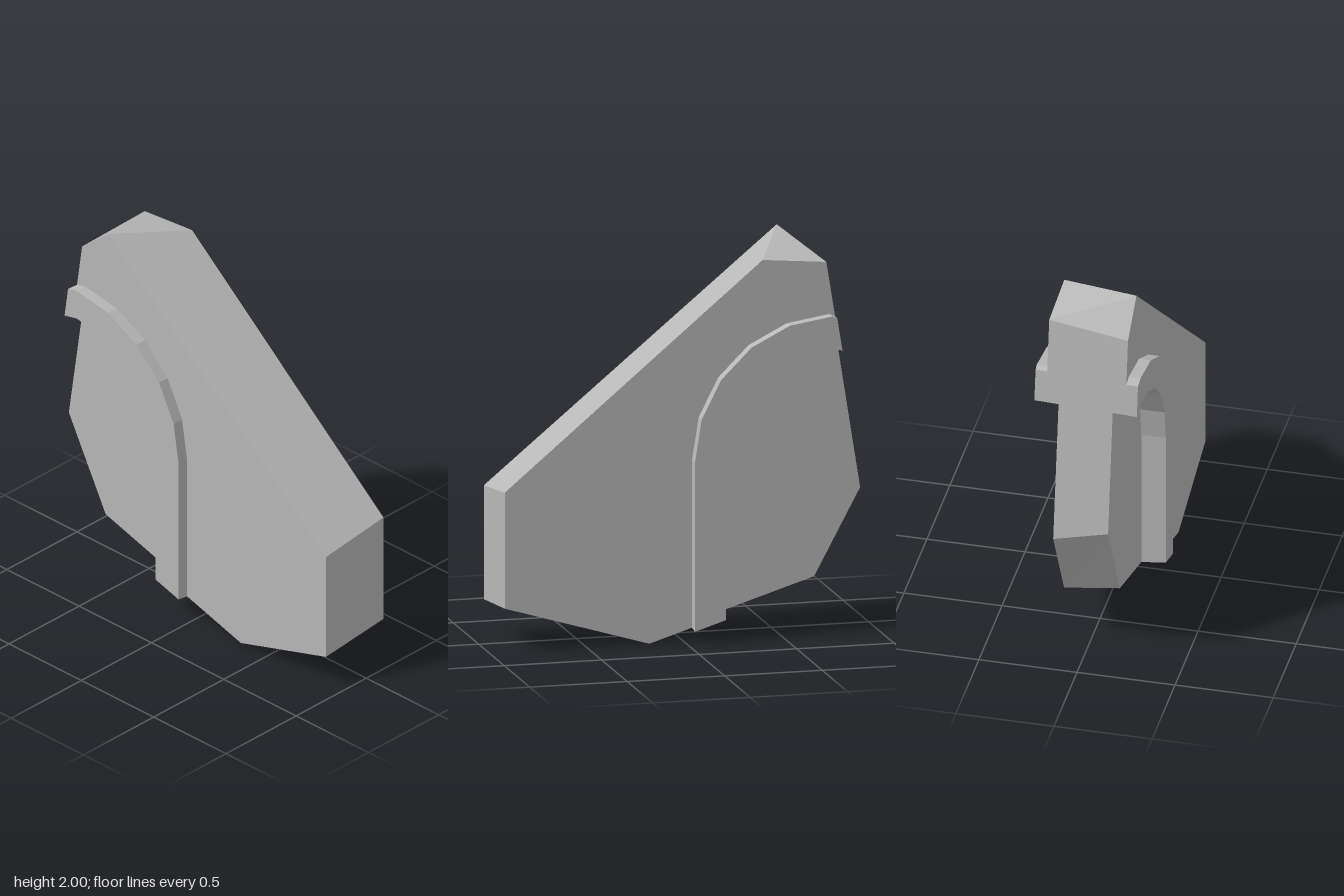
import * as THREE from 'three';

// Outline corners, counter-clockwise: [x, y at z = 0.2, x, y at z = -0.2]
const CORNERS = {
  bottomRight: [0.33, 0.01, 0.18, 0],
  rightLow: [0.92, 0.18, 0.92, 0.22],
  rightHigh: [0.92, 0.76, 0.92, 0.81],
  peak: [-0.58, 2, -0.405, 1.92],
  leftHigh: [-0.765, 1.85, -0.73, 1.89],
  leftMid: [-0.92, 0.805, -0.92, 0.705],
  bottomLeft: [-0.662, 0.312, -0.688, 0.275],
};

// A corner, continued linearly to depth z
function corner(name, z) {
  const [fx, fy, bx, by] = CORNERS[name];
  const t = (0.2 - z) / 0.4;
  return new THREE.Vector2(fx + (bx - fx) * t, fy + (by - fy) * t);
}

// Point on the sloping underside at a given x
function underside(x, z) {
  const a = corner('bottomLeft', z), b = corner('bottomRight', z);
  return a.lerp(b, (x - a.x) / (b.x - a.x));
}

// Point on the left edge at a given y
function leftEdge(y, z) {
  const a = corner('leftMid', z), b = corner('leftHigh', z);
  return a.lerp(b, (y - a.y) / (b.y - a.y));
}

// Faceted arch, from the upright leg to its crown
function arch(radius) {
  return Array.from({ length: 6 }, (_, i) => {
    const a = i * Math.PI / 10;
    return new THREE.Vector2(-0.745 + radius * Math.cos(a), 0.92 + radius * Math.sin(a));
  });
}

// Solid between the section at z = +depth and the one at z = -depth
function slab(name, section, depth, material) {
  const front = section(depth), back = section(-depth);
  const pos = [];
  const f = (i) => pos.push(front[i].x, front[i].y, depth);
  const b = (i) => pos.push(back[i].x, back[i].y, -depth);
  for (const [i, j, k] of THREE.ShapeUtils.triangulateShape(front, [])) {
    f(i); f(j); f(k);
  }
  for (const [i, j, k] of THREE.ShapeUtils.triangulateShape(back, [])) {
    b(i); b(k); b(j);
  }
  front.forEach((_, i) => {
    const j = (i + 1) % front.length;
    f(i); b(i); b(j);
    f(i); b(j); f(j);
  });
  const geometry = new THREE.BufferGeometry();
  geometry.setAttribute('position', new THREE.Float32BufferAttribute(pos, 3));
  geometry.computeVertexNormals();
  const mesh = new THREE.Mesh(geometry, material);
  mesh.name = name;
  return mesh;
}

export function createModel() {
  const group = new THREE.Group();
  group.name = 'archedWedge';
  const grey = new THREE.MeshStandardMaterial({ color: 0xb8b8b8, flatShading: true });
  grey.name = 'plain grey';

  const outerR = 0.705, innerR = 0.545;
  const outerX = -0.745 + outerR, innerX = -0.745 + innerR;
  const outerY = 1.612, innerY = 1.447;

  // Main body outside the arch
  group.add(slab('body', (z) => [
    underside(outerX, z),
    ...['bottomRight', 'rightLow', 'rightHigh', 'peak', 'leftHigh'].map((n) => corner(n, z)),
    leftEdge(outerY, z),
    ...arch(outerR).reverse(),
  ], 0.205, grey));

  // Raised band following the arch on both faces
  group.add(slab('archBand', (z) => [
    underside(innerX, z),
    underside(outerX, z),
    ...arch(outerR),
    leftEdge(outerY, z),
    leftEdge(innerY, z),
    ...arch(innerR).reverse(),
  ], 0.265, grey));

  // Recessed panel inside the arch
  group.add(slab('recessedPanel', (z) => [
    corner('bottomLeft', z),
    underside(innerX, z),
    ...arch(innerR),
    leftEdge(innerY, z),
    corner('leftMid', z),
  ], 0.14, grey));

  return group;
}
